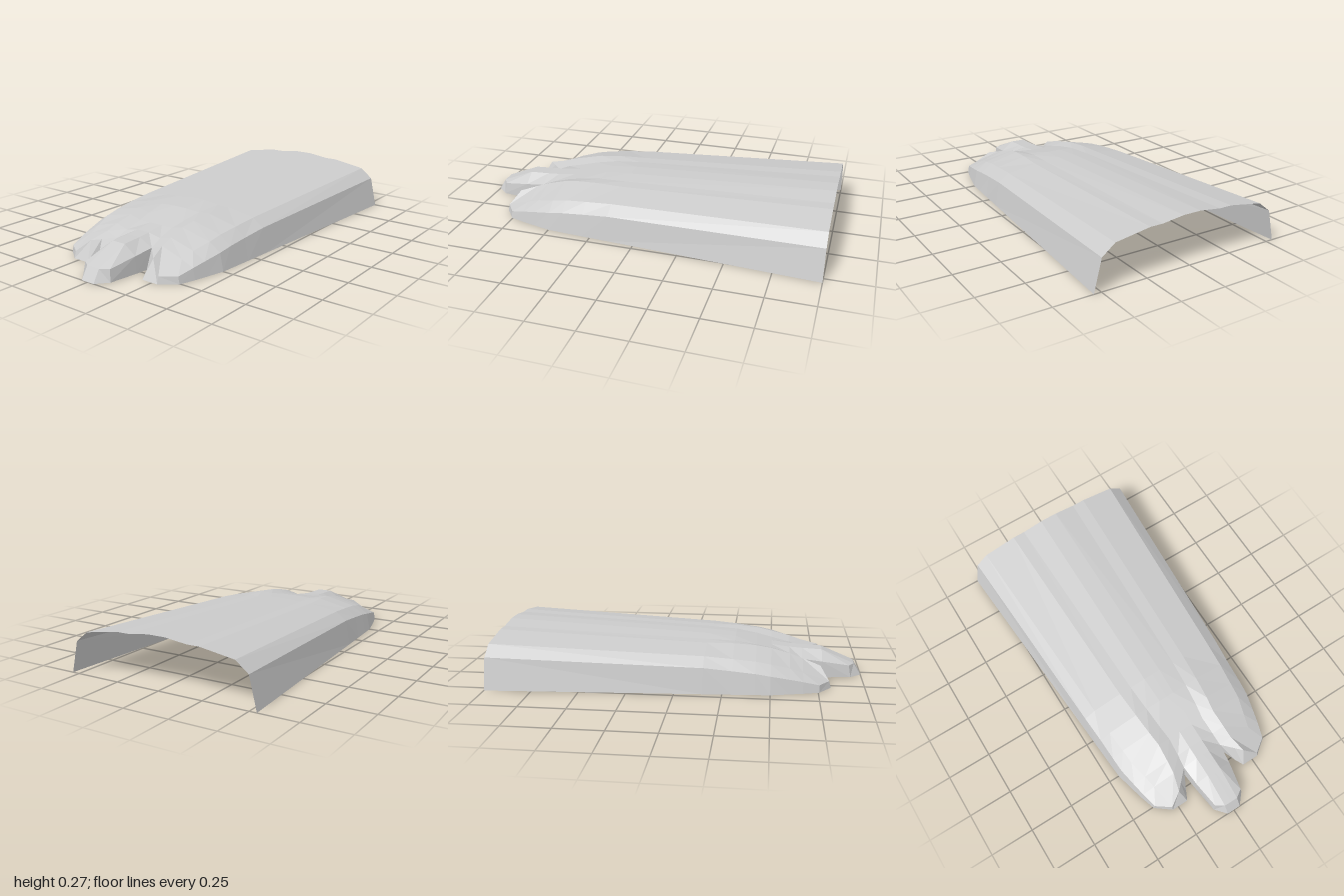
import * as THREE from 'three';

const material = new THREE.MeshStandardMaterial({ color: 0xcccccc, flatShading: true, side: THREE.DoubleSide });

// Skin a half surface through rows of [x, y, z] points, side = 1 (left) or -1 (mirrored right).
function skin(name, rows, side) {
  const pos = [];
  const tri = (a, b, c) => {
    for (const p of side > 0 ? [a, b, c] : [a, c, b]) pos.push(p[0] * side, p[1], p[2]);
  };
  for (let i = 0; i < rows.length - 1; i++) {
    for (let j = 0; j < rows[i].length - 1; j++) {
      const a = rows[i][j], b = rows[i + 1][j], c = rows[i + 1][j + 1], d = rows[i][j + 1];
      tri(a, b, c);
      tri(a, c, d);
    }
  }
  const geo = new THREE.BufferGeometry();
  geo.setAttribute('position', new THREE.Float32BufferAttribute(pos, 3));
  geo.computeVertexNormals();
  const mesh = new THREE.Mesh(geo, material);
  mesh.name = name;
  return mesh;
}

// A cross-section at constant z, from the centre line out to the ground edge.
const section = (z, points) => points.map(([x, y]) => [x, y, z]);

export function createModel() {
  const group = new THREE.Group();
  group.name = 'threeToedFoot';

  // Open-backed arched instep
  const instep = [
    section(-1, [[0, 0.27], [0.05, 0.27], [0.17, 0.255], [0.24, 0.255], [0.43, 0.225], [0.5, 0.17], [0.54, 0]]),
    section(0.15, [[0, 0.217], [0.05, 0.217], [0.14, 0.208], [0.21, 0.207], [0.377, 0.18], [0.44, 0.135], [0.464, 0]]),
    section(0.3, [[0, 0.205], [0.045, 0.205], [0.13, 0.2], [0.2, 0.205], [0.37, 0.168], [0.43, 0.12], [0.454, 0]]),
    section(0.42, [[0, 0.18], [0.045, 0.18], [0.12, 0.18], [0.19, 0.195], [0.36, 0.155], [0.425, 0.108], [0.446, 0]]),
    section(0.5, [[0, 0.162], [0.04, 0.162], [0.11, 0.162], [0.18, 0.18], [0.355, 0.14], [0.42, 0.095], [0.44, 0]]),
    section(0.6, [[0, 0.15], [0.04, 0.15], [0.115, 0.135], [0.185, 0.155], [0.33, 0.115], [0.4, 0.075], [0.415, 0]]),
    section(0.67, [[0, 0.145], [0.04, 0.145], [0.12, 0.105], [0.19, 0.13], [0.315, 0.09], [0.385, 0.06], [0.397, 0]]),
  ];
  const root = instep[instep.length - 1];

  // Centre toe, from the root to the blunt tip
  const middleToe = [
    [...root.slice(0, 3), [0.125, 0, 0.67]],
    section(0.78, [[0, 0.14], [0.04, 0.14], [0.11, 0.09], [0.115, 0]]),
    [[0, 0.065, 0.96], [0.04, 0.065, 0.96], [0.085, 0.065, 0.93], [0.093, 0, 0.94]],
    [[0, 0, 1], [0.04, 0, 1], [0.093, 0, 0.94], [0.093, 0, 0.94]],
  ];

  // Outer toe: top surface, then the wall from its rim down to the ground
  const rim = [[0.12, 0.105, 0.67], [0.18, 0.105, 0.72], [0.215, 0.1, 0.765], [0.285, 0.037, 0.81], [0.362, 0.038, 0.755]];
  const outerToe = [
    [root[2], root[2], root[3], root[4], root[5]],
    rim,
    [[0.125, 0, 0.67], [0.165, 0, 0.77], [0.19, 0, 0.82], [0.285, 0, 0.82], [0.37, 0, 0.755]],
  ];
  const outerToeSide = [[root[5], root[6]], [rim[4], [0.37, 0, 0.755]]];

  for (const [side, label] of [[1, 'left'], [-1, 'right']]) {
    group.add(
      skin(label + 'Instep', instep, side),
      skin(label + 'MiddleToeHalf', middleToe, side),
      skin(label + 'OuterToe', outerToe, side),
      skin(label + 'OuterToeSide', outerToeSide, side),
    );
  }
  return group;
}
